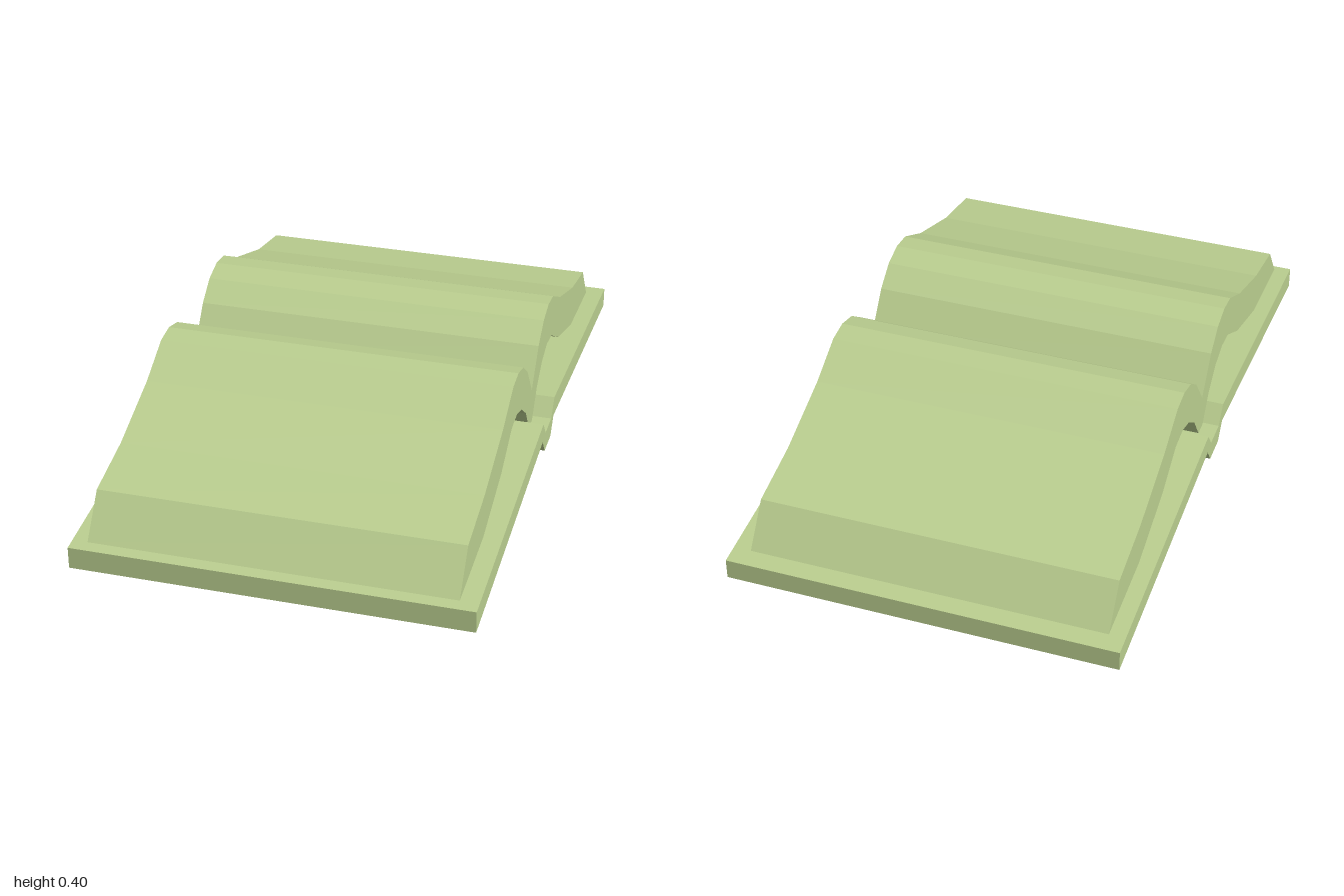
import * as THREE from 'three';

// Extrudes a (z, y) cross-section across the width of the book.
function slab(name, profile, width, centreX, material) {
  const shape = new THREE.Shape(profile.map(([z, y]) => new THREE.Vector2(z, y)));
  const geometry = new THREE.ExtrudeGeometry(shape, { depth: width, bevelEnabled: false });
  geometry.translate(0, 0, -width / 2);
  geometry.rotateY(-Math.PI / 2);
  geometry.translate(centreX, 0, 0);
  const mesh = new THREE.Mesh(geometry, material);
  mesh.name = name;
  return mesh;
}

export function createModel() {
  const book = new THREE.Group();
  book.name = 'openBook';
  const green = new THREE.MeshStandardMaterial({ color: 0xbbcf90 });
  green.name = 'paleGreen';

  // Cover: two sloping boards joined by a sunken spine, of constant thickness
  const coverTop = [
    [1, 0.07], [0.09, 0.146], [0.047, 0.092],
    [-0.042, 0.092], [-0.083, 0.146], [-1, 0.071],
  ];
  const coverBottom = [
    [-1, 0.007], [-0.08, 0.082], [-0.042, 0.029],
    [0.05, 0.029], [0.09, 0.082], [1, 0.002],
  ];
  book.add(slab('cover', [...coverTop, ...coverBottom], 1.194, 0, green));

  // Pages: an arched block, measured outward from the gutter and mirrored
  const gutter = 0.012;
  const pages = [
    [0, 0.215], [0.084, 0.325], [0.155, 0.378], [0.228, 0.398], [0.3, 0.39],
    [0.433, 0.321], [0.665, 0.24], [0.865, 0.2], [0.957, 0.078],
    [0.84, 0.086], [0.665, 0.1], [0.433, 0.175], [0.3, 0.25], [0.228, 0.257],
    [0.155, 0.234], [0.084, 0.18], [0.024, 0.095], [0, 0.095],
  ];
  for (const [name, side] of [['frontPages', 1], ['backPages', -1]]) {
    const profile = pages.map(([d, y]) => [gutter + side * d, y]);
    book.add(slab(name, profile, 1.09, -0.003, green));
  }

  return book;
}
